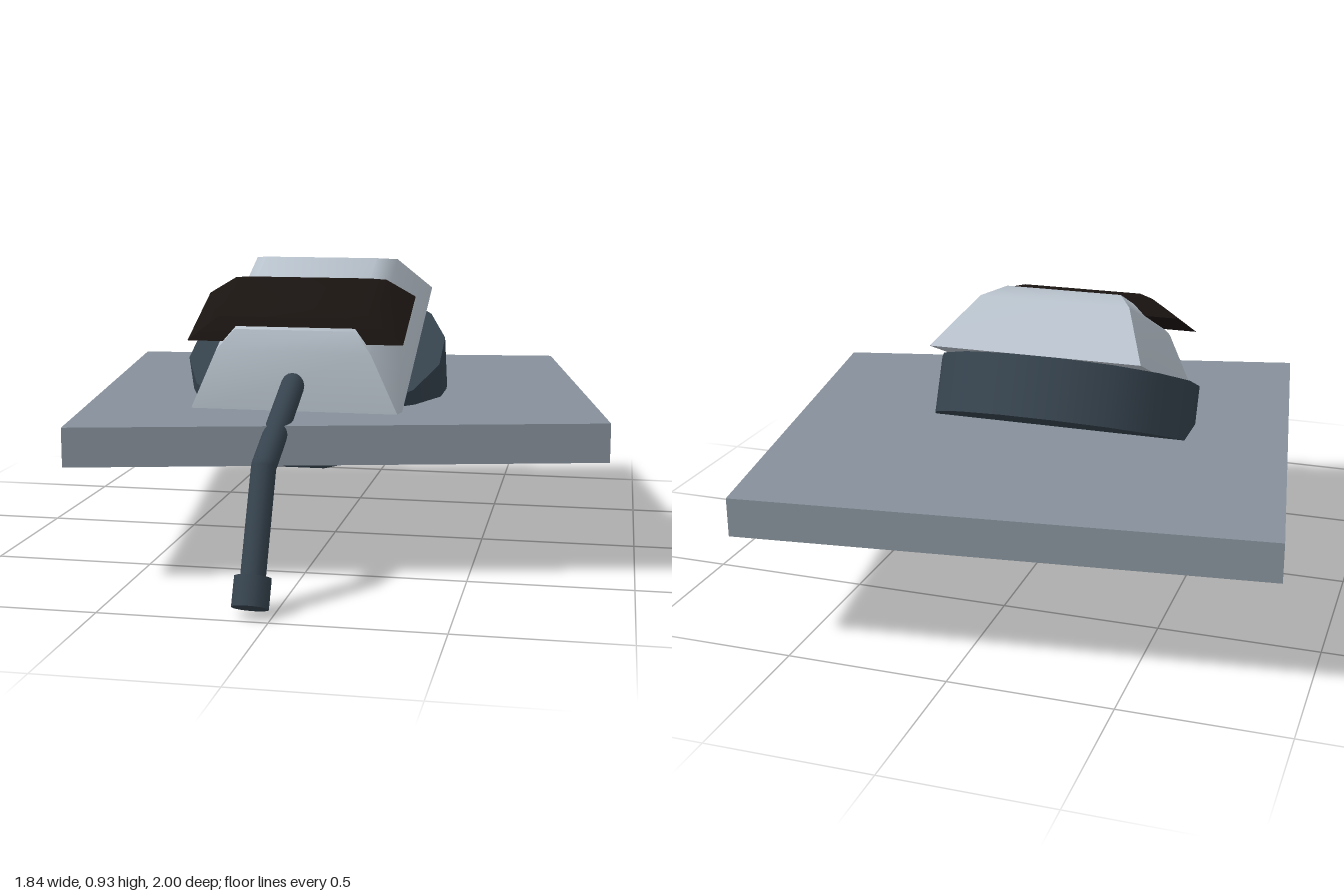
import * as THREE from 'three';
import { toCreasedNormals, mergeVertices } from 'three/addons/utils/BufferGeometryUtils.js';

const paint = (color) => new THREE.MeshStandardMaterial({ color });

// Closed solid from stacked rectangles [height, half width, back z, front z]
function stackedRects(layers) {
  const pos = [], index = [];
  for (const [y, w, z0, z1] of layers) {
    pos.push(-w, y, z1, w, y, z1, w, y, z0, -w, y, z0);
  }
  for (let l = 0; l < layers.length - 1; l++) {
    for (let i = 0; i < 4; i++) {
      const a = l * 4 + i, b = l * 4 + (i + 1) % 4;
      index.push(a, b, b + 4, a, b + 4, a + 4);
    }
  }
  const t = (layers.length - 1) * 4;
  index.push(0, 2, 1, 0, 3, 2, t, t + 1, t + 2, t, t + 2, t + 3);
  const geo = new THREE.BufferGeometry();
  geo.setAttribute('position', new THREE.Float32BufferAttribute(pos, 3));
  geo.setIndex(index);
  return toCreasedNormals(mergeVertices(geo), 0.78);
}

// Round rod between two points
function rod(from, to, radius, sides = 16) {
  const dir = to.clone().sub(from);
  const geo = new THREE.CylinderGeometry(radius, radius, dir.length(), sides);
  geo.applyQuaternion(new THREE.Quaternion().setFromUnitVectors(
    new THREE.Vector3(0, 1, 0), dir.clone().normalize()));
  const mid = from.clone().add(to).multiplyScalar(0.5);
  return geo.translate(mid.x, mid.y, mid.z);
}

export function createModel() {
  const model = new THREE.Group();
  const slate = paint(0x36434e);

  const add = (parent, name, geo, material) => {
    const mesh = new THREE.Mesh(geo, material);
    mesh.name = name;
    parent.add(mesh);
    return mesh;
  };

  // Irregular four-sided ground slab
  const outline = new THREE.Shape([
    [-0.92, -0.82], [0.67, -1.0], [0.915, 0.405], [-0.675, 0.775],
  ].map(([x, z]) => new THREE.Vector2(x, z)));
  const slab = new THREE.ExtrudeGeometry(outline, { depth: 0.12, bevelEnabled: false });
  slab.rotateX(Math.PI / 2).translate(0, 0.49, 0);
  add(model, 'slab', slab, paint(0x87919b));

  // Turret, pitched forward into the slab
  const turret = new THREE.Group();
  turret.name = 'turret';
  turret.position.set(-0.063, 0.465, -0.08);
  turret.rotation.x = 0.415;
  model.add(turret);

  // Sixteen-sided turning ring
  const ring = new THREE.CylinderGeometry(0.43, 0.43, 0.19, 16);
  ring.rotateY(Math.PI / 16).translate(0, 0.095, 0);
  add(turret, 'turningRing', ring, slate);

  // Sloped housing with a softened roof
  add(turret, 'housing', stackedRects([
    [0.19, 0.338, -0.423, 0.418],
    [0.38, 0.245, -0.277, 0.338],
    [0.43, 0.19, -0.189, 0.29],
  ]), paint(0xb8c2cc));

  // Dark visor across the front of the roof
  add(turret, 'visor', stackedRects([
    [0.395, 0.343, 0.003, 0.308],
    [0.452, 0.25, -0.003, 0.25],
    [0.47, 0.2, 0.023, 0.218],
  ]), paint(0x1a1411));

  // Bent barrel with a thicker muzzle
  const root = new THREE.Vector3(0, 0.283, 0.3);
  const bend = new THREE.Vector3(0, 0.283, 0.808);
  const tip = new THREE.Vector3(0, 0.018, 1.12);
  const muzzleStart = tip.clone().lerp(bend, 0.215);
  add(turret, 'barrelRear', rod(root, bend, 0.037), slate);
  add(turret, 'barrelElbow', new THREE.SphereGeometry(0.037, 16, 12), slate).position.copy(bend);
  add(turret, 'barrelFront', rod(bend, muzzleStart, 0.037), slate);
  add(turret, 'muzzle', rod(muzzleStart, tip, 0.054), slate);

  return model;
}
